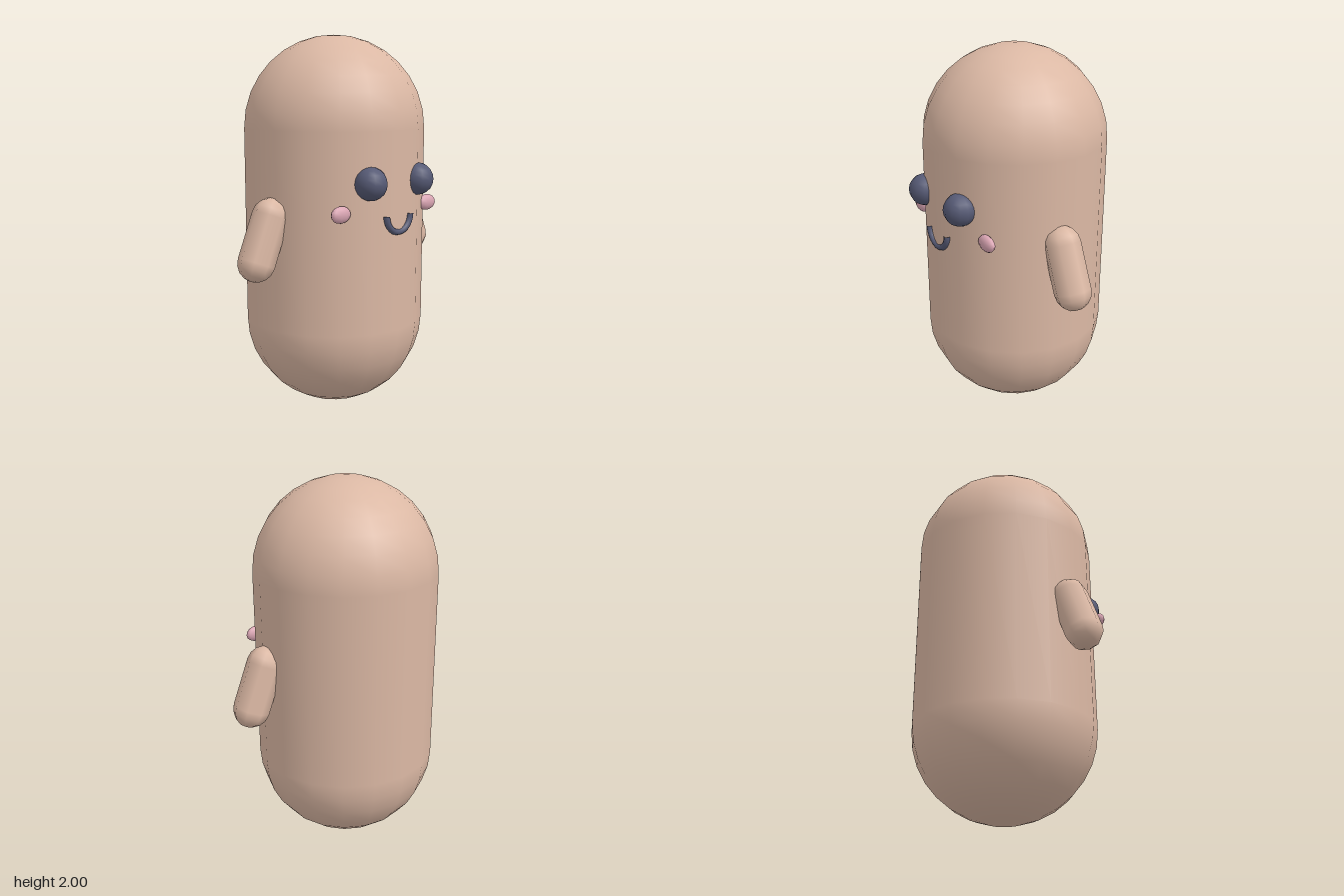
import * as THREE from 'three';

export function createModel() {
  const root = new THREE.Group();
  const material = (name, color) => {
    const m = new THREE.MeshStandardMaterial({ color });
    m.name = name;
    return m;
  };
  const skin = material('tan skin', 0xdbb8a4);
  const dark = material('dark slate', 0x565a75);
  const pink = material('blush pink', 0xdba6b4);

  const add = (name, geometry, mat, x, y, z) => {
    const mesh = new THREE.Mesh(geometry, mat);
    mesh.name = name;
    mesh.position.set(x, y, z);
    root.add(mesh);
    return mesh;
  };

  // Tall capsule body, with a corner of its 18 sides facing the front
  const body = new THREE.CapsuleGeometry(0.485, 1.03, 8, 18);
  body.rotateY(Math.PI / 2);
  add('body', body, skin, 0, 1, -0.025);

  // Mirrored arms, eyes and cheeks
  const shoulder = new THREE.Vector2(0.487, 1.085);
  const hand = new THREE.Vector2(0.581, 0.857);
  const armGeometry = new THREE.CapsuleGeometry(0.096, shoulder.distanceTo(hand), 4, 8);
  const tilt = Math.atan2(hand.x - shoulder.x, shoulder.y - hand.y);
  const eyeGeometry = new THREE.SphereGeometry(0.084, 12, 10);
  const cheekGeometry = new THREE.SphereGeometry(1, 10, 8).scale(0.064, 0.043, 0.028);

  for (const [side, s] of [['left', 1], ['right', -1]]) {
    const arm = add(side + 'Arm', armGeometry, skin,
      s * (shoulder.x + hand.x) / 2, (shoulder.y + hand.y) / 2, 0.025);
    arm.rotation.z = s * tilt;
    add(side + 'Eye', eyeGeometry, dark, s * 0.174, 1.258, 0.424);
    add(side + 'Cheek', cheekGeometry, pink, s * 0.321, 1.114, 0.364);
  }

  // Half-ring smile
  const smile = new THREE.TorusGeometry(0.088, 0.017, 8, 14, Math.PI);
  smile.rotateZ(Math.PI);
  add('smile', smile, dark, 0, 1.09, 0.452);

  return root;
}
